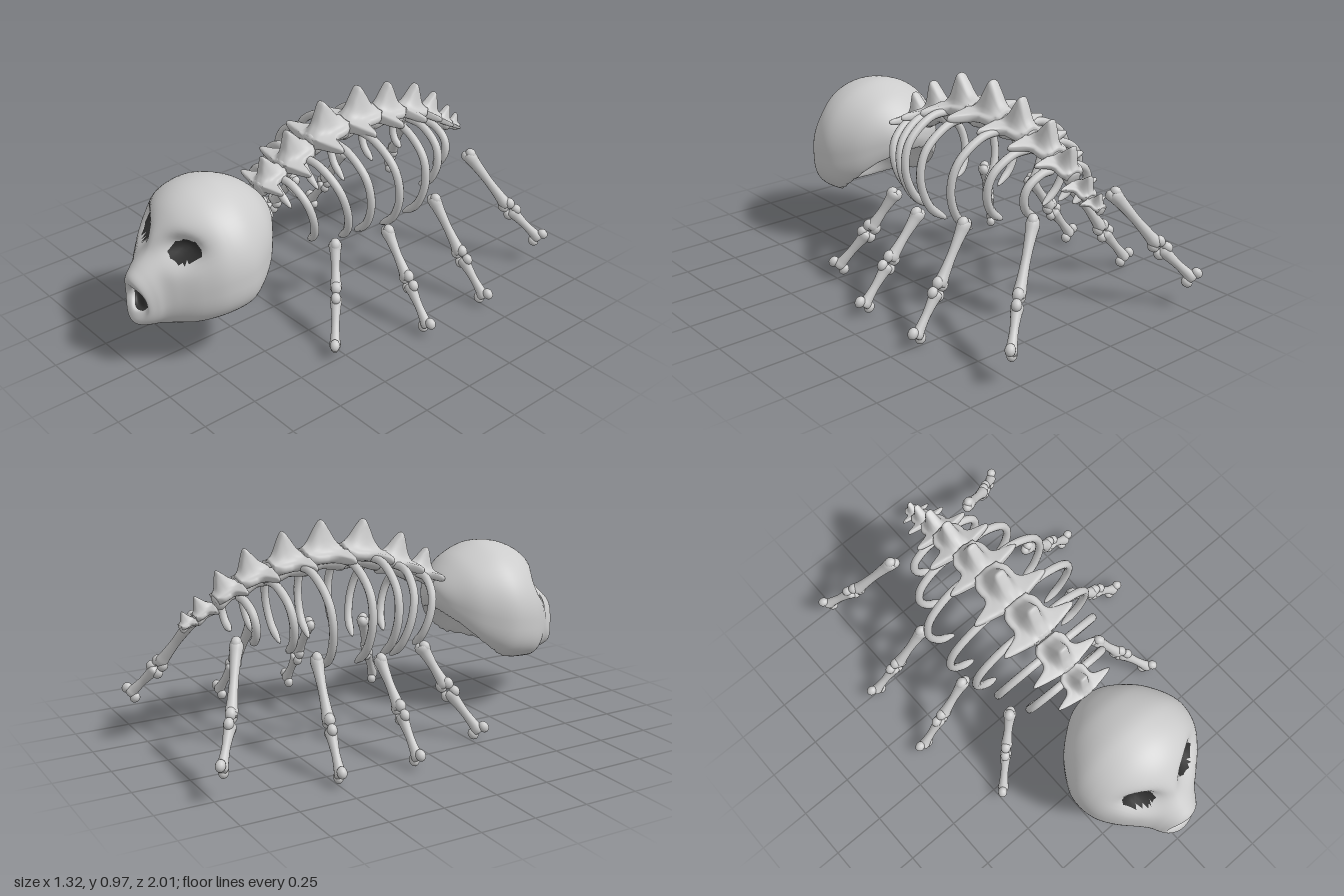
import * as THREE from 'three';
import { mergeGeometries } from 'three/addons/utils/BufferGeometryUtils.js';

const bone = new THREE.MeshStandardMaterial({ color: 0xcccccc });
bone.name = 'bone grey';
const dark = new THREE.MeshStandardMaterial({ color: 0x303030 });
dark.name = 'socket dark';
const V = (x, y, z) => new THREE.Vector3(x, y, z);

function mesh(name, geometry, material = bone) {
  const m = new THREE.Mesh(geometry, material);
  m.name = name;
  return m;
}

// Skin closed rings (back to front, each starting at the top and going to +x).
// isDark(centroid, ring) sorts faces into the second material group.
function loft(rings, isDark = () => false) {
  const n = rings[0].length, lists = [[], []];
  const c = V(0, 0, 0);
  for (let i = 0; i < rings.length - 1; i++) for (let j = 0; j < n; j++) {
    const k = (j + 1) % n;
    const a = i * n + j, b = i * n + k, d = a + n, e = b + n;
    for (const t of [[a, d, b], [b, d, e]]) {
      c.set(0, 0, 0);
      t.forEach(q => c.addScaledVector(rings[Math.floor(q / n)][q % n], 1 / 3));
      lists[isDark(c, i) ? 1 : 0].push(...t);
    }
  }
  const g = new THREE.BufferGeometry().setFromPoints(rings.flat());
  g.setIndex([...lists[0], ...lists[1]]);
  g.addGroup(0, lists[0].length, 0);
  g.addGroup(lists[0].length, lists[1].length, 1);
  g.computeVertexNormals();
  return g;
}

function skull() {
  // z, top, bottom, half width
  const S = [
    [0.31, 0.57, 0.56, 0], [0.33, 0.62, 0.50, 0.09], [0.38, 0.68, 0.41, 0.17],
    [0.45, 0.735, 0.32, 0.245], [0.55, 0.775, 0.25, 0.305], [0.63, 0.78, 0.235, 0.32],
    [0.72, 0.76, 0.225, 0.30], [0.80, 0.71, 0.205, 0.245], [0.87, 0.62, 0.205, 0.175],
    [0.91, 0.545, 0.21, 0.135], [0.95, 0.49, 0.22, 0.115], [0.98, 0.455, 0.235, 0.095],
    [0.985, 0.43, 0.26, 0.08], [0.97, 0.40, 0.29, 0.06], [0.94, 0.40, 0.29, 0.055],
    [0.93, 0.345, 0.345, 0]];
  const A = new THREE.CatmullRomCurve3(S.map(s => V(s[0], s[1], s[2])), false, 'catmullrom', 0.5);
  const B = new THREE.CatmullRomCurve3(S.map(s => V(s[3], 0, 0)), false, 'catmullrom', 0.5);
  const N = 105, SEG = 72, rings = [];
  const down = V(0, -0.85, -0.52), along = V(0, -0.52, 0.85), centre = V(0, 0.33, 0.555);
  for (let i = 0; i <= N; i++) {
    const s = A.getPoint(i / N), hw = Math.max(0, B.getPoint(i / N).x);
    const mid = s.z + 0.42 * (s.y - s.z);
    const low = THREE.MathUtils.lerp(3.2, 2, THREE.MathUtils.smoothstep(s.x, 0.7, 0.92));
    const ring = [];
    for (let j = 0; j < SEG; j++) {
      const a = j / SEG * Math.PI * 2, ca = Math.cos(a), sa = Math.sin(a);
      const e = 2 / (ca < 0 ? low : 2);
      const px = Math.sign(sa) * Math.abs(sa) ** e * hw;
      const py = mid + Math.sign(ca) * Math.abs(ca) ** e * (ca > 0 ? s.y - mid : mid - s.z);
      const p = V(px, py, s.x);
      if (s.x > 0.9) p.z += 0.03 * (ca * ca - 0.5) * THREE.MathUtils.smoothstep(s.x, 0.9, 0.97);
      // eye sockets
      if (p.z > 0.68 && i < N * 0.7) {
        const side = Math.sign(p.x);
        const q = ((Math.abs(p.x) - 0.135) / 0.075) ** 2 + ((p.y - 0.575) / 0.055) ** 2;
        const dent = 0.075 * Math.exp(-q);
        p.z -= dent;
        p.x -= side * dent * 0.2;
      }
      // hollow underside
      const r = p.clone().sub(centre);
      const rr = (p.x / 0.24) ** 2 + (r.dot(along) / 0.27) ** 2;
      if (r.dot(down) > -0.03 && rr < 1) p.addScaledVector(down, -0.24 * (1 - rr));
      ring.push(p);
    }
    rings.push(ring);
  }
  const isDark = (c, i) => i >= N * 0.89 ||
    (i < N * 0.7 && c.z > 0.62 && ((Math.abs(c.x) - 0.135) / 0.064) ** 2 + ((c.y - 0.567) / 0.042) ** 2 < 1);
  return mesh('skull', loft(rings, isDark), [bone, dark]);
}

// Vertebra: arch with a tall spike and side wings, on a waisted spool
function vertebraGeometry() {
  // z, top, wing reach
  const S = [[-0.09, 0.05, 0.06], [-0.06, 0.075, 0.085], [-0.025, 0.135, 0.09], [0, 0.165, 0.09],
    [0.025, 0.13, 0.115], [0.05, 0.085, 0.19], [0.07, 0.06, 0.18], [0.095, 0.035, 0.06]];
  const curve = new THREE.CatmullRomCurve3(S.map(s => V(...s)), false, 'catmullrom', 0.5);
  const rings = [];
  for (let i = 0; i <= 28; i++) {
    const { x: z, y: top, z: w } = curve.getPoint(i / 28);
    const half = [[0.022, top - 0.008], [0.035, top * 0.65 + 0.005], [0.06, 0.035],
      [w * 0.95, 0.025], [w, 0.01], [w * 0.93, -0.005], [0.045, -0.02]];
    const pts = [V(0, top, z), ...half.map(([x, y]) => V(x, y, z)), V(0, -0.03, z),
      ...half.slice().reverse().map(([x, y]) => V(-x, y, z))];
    const loop = new THREE.CatmullRomCurve3(pts, true);
    const ring = [];
    for (let j = 0; j < 48; j++) ring.push(loop.getPoint(j / 48));
    rings.push(ring);
  }
  const cap = r => r.map(p => V(0, 0.01, p.z));
  const arch = loft([cap(rings[0]), ...rings, cap(rings.at(-1))]);
  arch.clearGroups();
  const profile = [[0, -0.1], [0.04, -0.1], [0.056, -0.085], [0.052, -0.06], [0.038, 0],
    [0.052, 0.06], [0.056, 0.085], [0.04, 0.1], [0, 0.1]].map(p => new THREE.Vector2(...p));
  const spool = new THREE.LatheGeometry(profile, 24).rotateX(Math.PI / 2).translate(0, -0.012, 0);
  spool.deleteAttribute('uv');
  return mergeGeometries([arch, spool]);
}

// Rib: tube tapered at both ends
function ribGeometry(z0, y0, z1, y1, w) {
  const h = y0 - y1, at = (x, t) => V(x, y0 - h * t, z0 + (z1 - z0) * t);
  const path = new THREE.CatmullRomCurve3([at(0.04, 0.02), at(w * 0.5, 0.04), at(w * 0.86, 0.25),
    at(w * 0.95, 0.52), at(w * 0.83, 0.82), at(w * 0.58, 1)]);
  const T = 40, R = 10, g = new THREE.TubeGeometry(path, T, 0.019, R);
  const p = g.attributes.position, v = V(0, 0, 0);
  for (let i = 0; i < p.count; i++) {
    const t = Math.floor(i / (R + 1)) / T, c = path.getPointAt(t);
    const k = Math.sqrt(Math.max(0, Math.min(1, (1 - t) / 0.1)));
    v.fromBufferAttribute(p, i).sub(c).multiplyScalar(k).add(c);
    p.setXYZ(i, v.x, v.y, v.z);
  }
  return g;
}

// Limb bone from a to b, with a pair of knuckles at each end
function limbBone(name, a, b, r, headSpread, footSpread) {
  const L = a.distanceTo(b), d = b.clone().sub(a).normalize();
  const profile = [[0, 0], [1.0, 0.03], [1.25, 0.1], [1.05, 0.22], [0.85, 0.45], [0.85, 0.6],
    [1.0, 0.8], [1.15, 0.9], [0.9, 0.97], [0, 0.98]].map(([x, y]) => new THREE.Vector2(x * r, y * L));
  const smooth = new THREE.SplineCurve(profile).getPoints(36).map(p => p.setX(Math.max(0, p.x)));
  const parts = [new THREE.LatheGeometry(smooth, 16).scale(1, 1, 0.9)];
  for (const [y, spread] of [[r * 0.7, headSpread], [L - r * 0.7, footSpread]]) for (const s of [-1, 1])
    parts.push(new THREE.SphereGeometry(r, 14, 10).scale(0.95, 1.1, 0.9).translate(s * spread, y, 0));
  const up = V(0, 1, 0).addScaledVector(d, -d.y).normalize();
  const g = mergeGeometries(parts);
  g.applyMatrix4(new THREE.Matrix4().makeBasis(up, d, up.clone().cross(d)).setPosition(a));
  return mesh(name, g);
}

export function createModel() {
  const model = new THREE.Group();
  model.name = 'skeleton creature';
  model.add(skull());

  // Spine: z, y, tilt, scale
  const spine = new THREE.Group();
  spine.name = 'spine';
  const vg = vertebraGeometry();
  [[0.26, 0.665, 0.32, 0.75], [0.12, 0.725, 0.3, 0.9], [-0.06, 0.785, 0.15, 1],
    [-0.25, 0.795, 0, 1.02], [-0.42, 0.775, -0.12, 0.95], [-0.58, 0.74, -0.28, 0.85],
    [-0.7, 0.69, -0.45, 0.7], [-0.81, 0.62, -0.5, 0.52], [-0.885, 0.58, -0.4, 0.38]]
    .forEach(([z, y, tilt, s], i) => {
      const m = mesh('vertebra' + (i + 1), vg);
      m.position.set(0, y, z);
      m.rotation.x = tilt;
      m.scale.set(s, s, s * (i === 2 || i === 3 ? 1.08 : 1));
      spine.add(m);
    });
  model.add(spine);

  // Ribs: root z, y, tip z, y, reach
  const ribs = new THREE.Group();
  ribs.name = 'ribs';
  [[0.23, 0.68, 0.145, 0.37, 0.22], [0.1, 0.74, 0, 0.35, 0.29], [-0.03, 0.79, -0.065, 0.37, 0.34],
    [-0.18, 0.8, -0.205, 0.36, 0.37], [-0.385, 0.79, -0.36, 0.36, 0.35],
    [-0.535, 0.74, -0.505, 0.44, 0.275], [-0.665, 0.68, -0.645, 0.485, 0.19]].forEach((r, i) => {
    const g = ribGeometry(...r);
    for (const [side, a] of [['left', 0], ['right', 1]]) {
      const m = mesh(side + 'Rib' + (i + 1), a ? g.clone().scale(-1, 1, 1) : g);
      if (a) { // restore outward winding after mirroring
        const ix = m.geometry.index.array;
        for (let k = 0; k < ix.length; k += 3) [ix[k], ix[k + 1]] = [ix[k + 1], ix[k]];
      }
      ribs.add(m);
    }
  });
  model.add(ribs);

  // Legs: hip, knee, foot
  [[[0.26, 0.41, 0.105], [0.36, 0.215, 0.185], [0.475, 0.025, 0.29]],
    [[0.32, 0.41, -0.145], [0.485, 0.205, -0.135], [0.625, 0.03, -0.13]],
    [[0.31, 0.46, -0.445], [0.485, 0.205, -0.475], [0.625, 0.03, -0.5]],
    [[0.22, 0.55, -0.76], [0.41, 0.28, -0.88], [0.535, 0.125, -0.98]]].forEach((leg, i) => {
    for (const s of [1, -1]) {
      const [hip, knee, foot] = leg.map(([x, y, z]) => V(x * s, y, z));
      const g = new THREE.Group();
      g.name = (s > 0 ? 'left' : 'right') + 'Leg' + (i + 1);
      const gap = foot.clone().sub(hip).normalize().multiplyScalar(0.006);
      g.add(limbBone('upperBone', hip, knee.clone().sub(gap), 0.026, 0.012, 0.018));
      g.add(limbBone('lowerBone', knee.clone().add(gap), foot, 0.024, 0.024, 0.03));
      model.add(g);
    }
  });
  return model;
}
